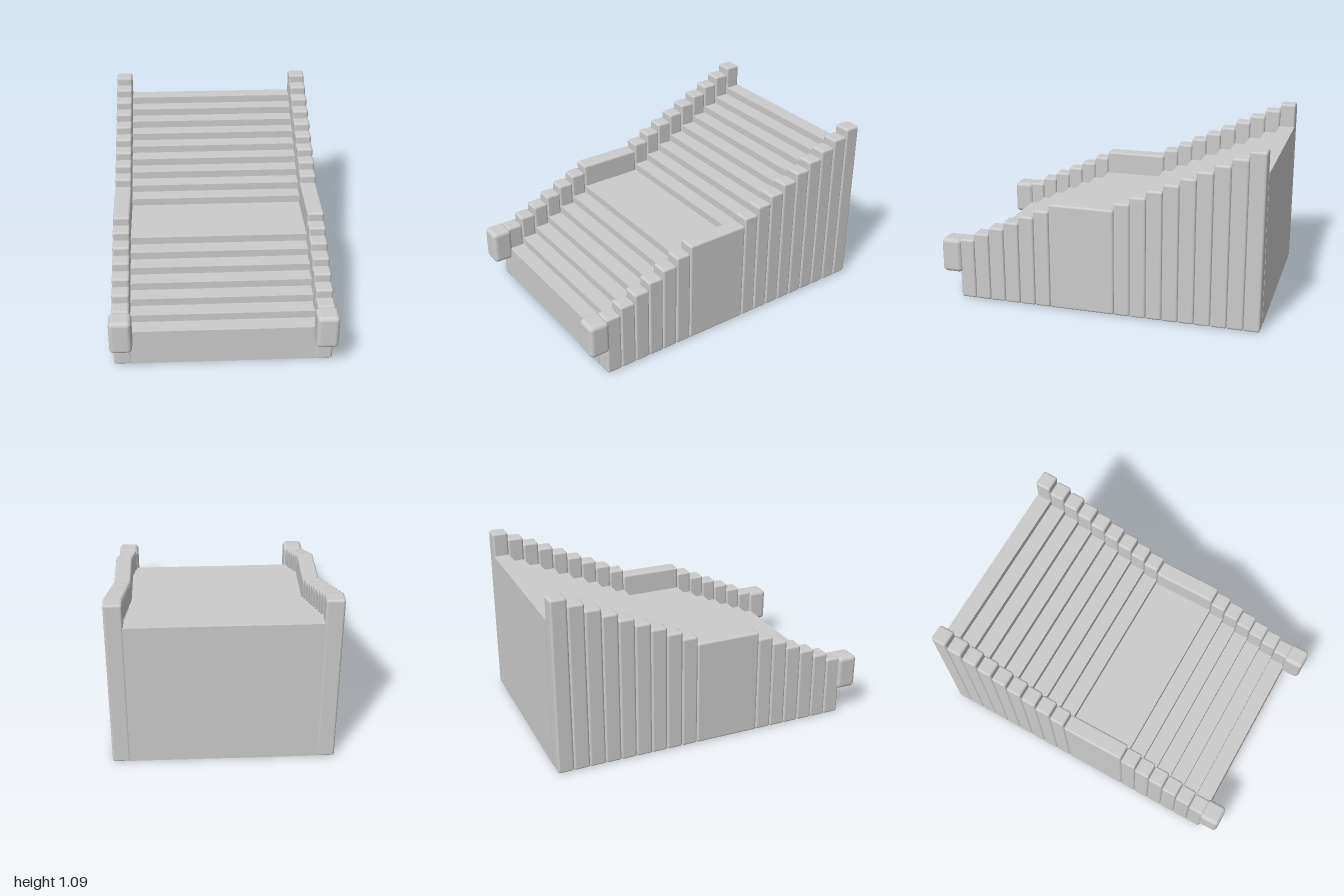
import * as THREE from 'three';
import { RoundedBoxGeometry } from 'three/addons/geometries/RoundedBoxGeometry.js';

const TREAD = 0.0985, RISE = 0.0467, LOWER = 6, UPPER = 9;
const FRONT = 0.885, LANDING = 0.405;
const INNER = 0.55, OUTER = 0.655;

export function createModel() {
  const model = new THREE.Group();
  model.name = 'staircase';
  const material = new THREE.MeshStandardMaterial({ color: 0xcccccc });

  const add = (name, geometry, x, y, z) => {
    const mesh = new THREE.Mesh(geometry, material);
    mesh.name = name;
    mesh.position.set(x, y, z);
    model.add(mesh);
  };

  // Each section is a full-height tread block flanked by two taller wall blocks
  let z = FRONT;
  for (let i = 0; i <= LOWER + UPPER; i++) {
    const isLanding = i === LOWER;
    const depth = isLanding ? LANDING : TREAD;
    const wallTop = 0.385 + i * RISE;
    const stepTop = wallTop - 0.148;
    const mid = z - depth / 2;

    add(isLanding ? 'landing' : 'step' + (i + 1),
      new THREE.BoxGeometry(2 * INNER + 0.01, stepTop - 0.005, depth), 0, (stepTop + 0.005) / 2, mid);

    for (const side of [1, -1]) {
      add((side > 0 ? 'left' : 'right') + 'Wall' + (i + 1),
        new RoundedBoxGeometry(OUTER - INNER, wallTop, depth, 3, 0.014),
        side * (INNER + OUTER) / 2, wallTop / 2, mid);
    }
    z -= depth;
  }

  // Rounded blocks capping the front ends of the walls
  for (const side of [1, -1]) {
    add(side > 0 ? 'leftEndBlock' : 'rightEndBlock',
      new RoundedBoxGeometry(0.133, 0.217, 0.13, 4, 0.027), side * 0.603, 0.273, 0.935);
  }
  return model;
}
